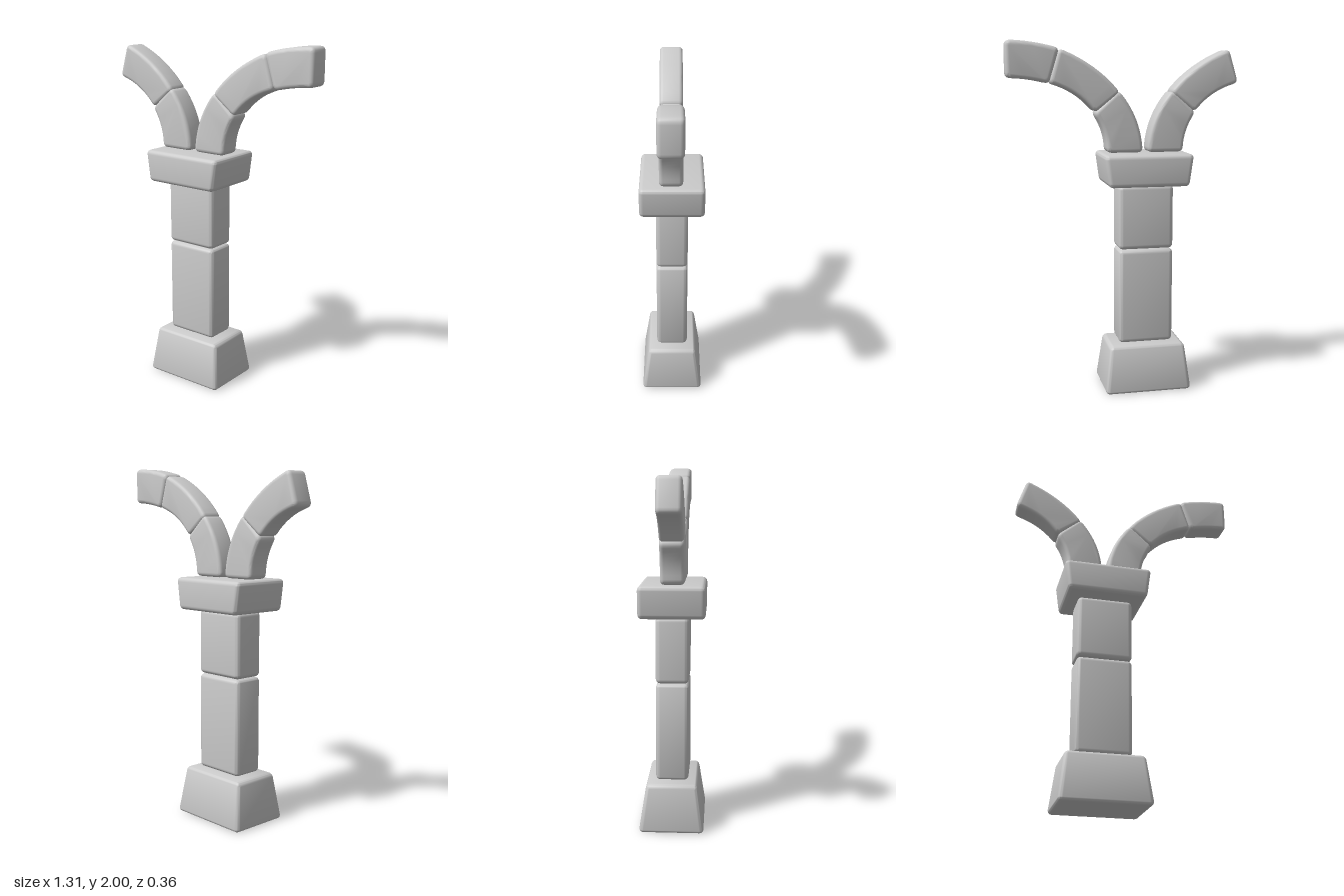
import * as THREE from 'three';
import { RoundedBoxGeometry } from 'three/addons/geometries/RoundedBoxGeometry.js';
import { toCreasedNormals } from 'three/addons/utils/BufferGeometryUtils.js';

const AXIS = -0.12; // x of the pillar's centre line
const material = new THREE.MeshStandardMaterial({ color: 0xcccccc });

function addMesh(group, name, geometry) {
  const mesh = new THREE.Mesh(geometry, material);
  mesh.name = name;
  group.add(mesh);
  return mesh;
}

// Rounded block from y0 to y1; topX and topZ scale its top, botX its bottom
function block(group, name, y0, y1, width, depth, { topX = 1, topZ = 1, botX = 1 } = {}) {
  const h = y1 - y0;
  let geometry = new RoundedBoxGeometry(width, h, depth, 3, 0.025);
  const p = geometry.attributes.position;
  for (let i = 0; i < p.count; i++) {
    const t = p.getY(i) / h + 0.5;
    p.setX(i, p.getX(i) * THREE.MathUtils.lerp(botX, topX, t));
    p.setZ(i, p.getZ(i) * THREE.MathUtils.lerp(1, topZ, t));
  }
  geometry = toCreasedNormals(geometry, 0.7);
  addMesh(group, name, geometry).position.set(AXIS, (y0 + y1) / 2, 0);
}

// Curved arch stone: outer and inner edges each run start, middle, end
function archStone(group, name, outer, inner, side) {
  const edge = (pts) => {
    const [a, m, b] = pts.map(([x, y]) => new THREE.Vector2(side * (x - AXIS) + AXIS, y));
    const control = m.clone().multiplyScalar(2).addScaledVector(a.clone().add(b), -0.5);
    return new THREE.QuadraticBezierCurve(a, control, b);
  };
  const out = edge(outer), inn = edge(inner);
  const corners = [out.v0, out.v2, inn.v2, inn.v0];
  const r = 0.03;
  const toward = (a, b) => a.clone().add(b.clone().sub(a).setLength(r));
  const along = (curve, from, to) => {
    const inset = r / curve.getLength();
    const pts = [];
    for (let i = 0; i <= 8; i++) {
      const t = THREE.MathUtils.lerp(inset, 1 - inset, i / 8);
      pts.push(curve.getPointAt(from < to ? t : 1 - t));
    }
    return pts;
  };
  const top = along(out, 0, 1), bottom = along(inn, 1, 0);
  const round = (a, corner, b) =>
    new THREE.QuadraticBezierCurve(a, corner, b).getPoints(4).slice(1, -1);
  const [c0, c1, c2, c3] = corners;
  const e1 = toward(c1, c2), e2 = toward(c2, c1), e3 = toward(c3, c0), e0 = toward(c0, c3);
  const outline = [
    ...top, ...round(top[8], c1, e1), e1,
    e2, ...round(e2, c2, bottom[0]), ...bottom,
    ...round(bottom[8], c3, e3), e3, e0, ...round(e0, c0, top[0]),
  ];
  const bevel = 0.022, depth = 0.132;
  const geometry = new THREE.ExtrudeGeometry(new THREE.Shape(outline), {
    depth: depth - 2 * bevel, bevelEnabled: true, bevelThickness: bevel,
    bevelSize: bevel, bevelOffset: -bevel, bevelSegments: 4,
  });
  geometry.translate(0, 0, 0.005 - depth / 2 + bevel);
  addMesh(group, name, toCreasedNormals(geometry, 0.7));
}

export function createModel() {
  const model = new THREE.Group();
  model.name = 'brokenArchPillar';

  // Pillar: flared base, two shaft stones and a capital
  block(model, 'base', 0.003, 0.275, 0.505, 0.364, { topX: 0.86, topZ: 0.77 });
  block(model, 'lowerShaft', 0.28, 0.83, 0.315, 0.182);
  block(model, 'upperShaft', 0.833, 1.2, 0.315, 0.182);
  block(model, 'capital', 1.2, 1.38, 0.505, 0.364, { botX: 0.9 });

  // Arch stones, listed for the left arm: [outer edge, inner edge]
  const stones = [
    [[[-0.107, 1.383], [-0.068, 1.57], [0.033, 1.73]], [[0.1, 1.383], [0.117, 1.5], [0.172, 1.605]]],
    [[[0.022, 1.715], [0.17, 1.855], [0.363, 1.957]], [[0.166, 1.606], [0.276, 1.708], [0.42, 1.768]]],
    [[[0.358, 1.957], [0.505, 1.989], [0.652, 2.0]], [[0.418, 1.765], [0.535, 1.789], [0.652, 1.797]]],
  ];
  for (const [name, side, count] of [['leftArch', 1, 3], ['rightArch', -1, 2]]) {
    const arm = new THREE.Group();
    arm.name = name;
    stones.slice(0, count).forEach(([outer, inner], i) =>
      archStone(arm, `${name}Stone${i + 1}`, outer, inner, side));
    model.add(arm);
  }
  return model;
}
